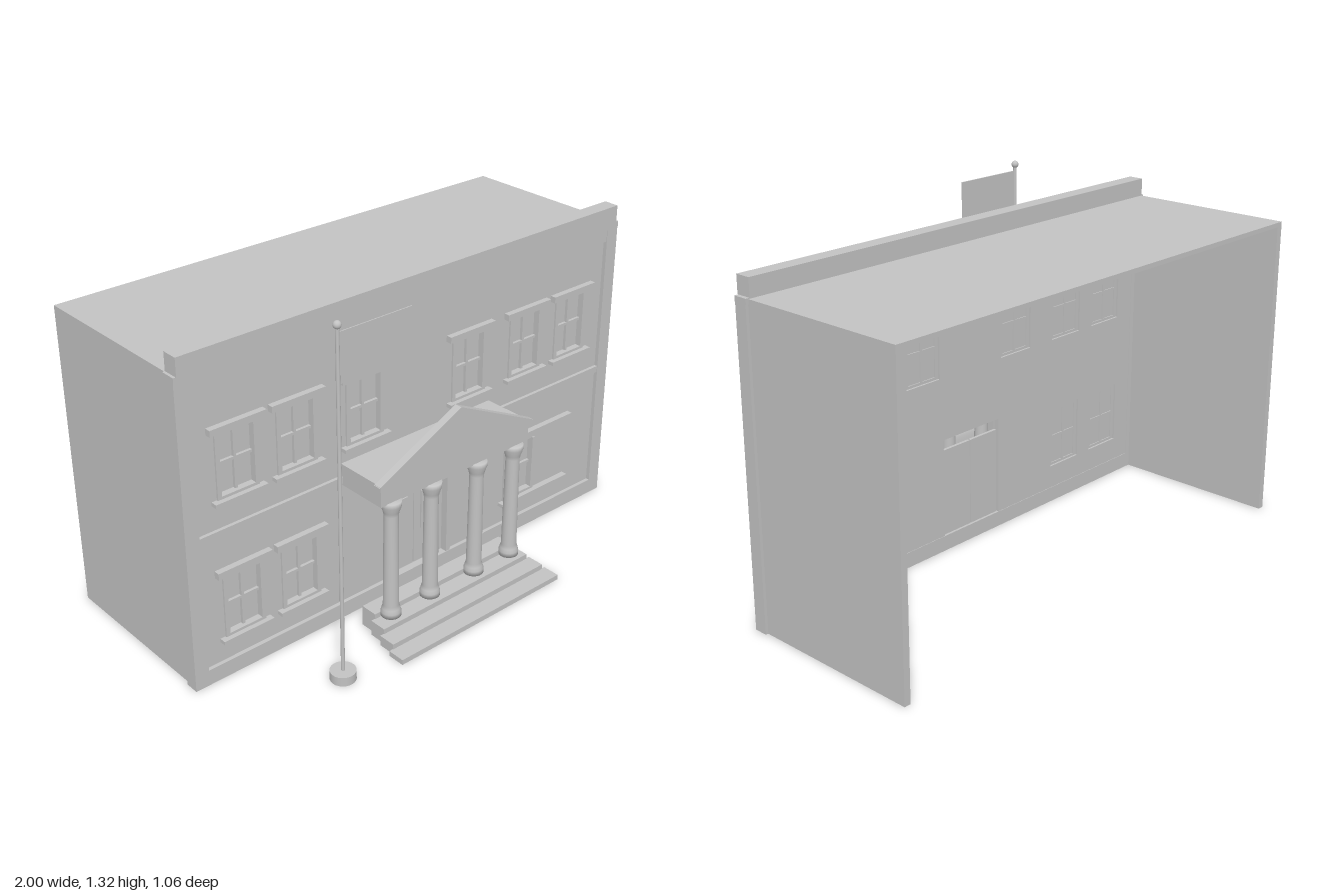
import * as THREE from 'three';

export function createModel() {
  const model = new THREE.Group();
  const stone = new THREE.MeshStandardMaterial({ color: 0xc2c2c2 });
  stone.name = 'grey stone';

  const add = (name, geometry, parent = model) => {
    const mesh = new THREE.Mesh(geometry, stone);
    mesh.name = name;
    parent.add(mesh);
    return mesh;
  };
  // box given by its limits on each axis
  const box = (name, x0, x1, y0, y1, z0, z1, parent = model) => {
    const mesh = add(name, new THREE.BoxGeometry(x1 - x0, y1 - y0, z1 - z0), parent);
    mesh.position.set((x0 + x1) / 2, (y0 + y1) / 2, (z0 + z1) / 2);
    return mesh;
  };
  const rectPath = (PathType, x0, x1, y0, y1) => {
    const p = new PathType();
    p.moveTo(x0, y0);
    p.lineTo(x1, y0);
    p.lineTo(x1, y1);
    p.lineTo(x0, y1);
    p.closePath();
    return p;
  };

  // open-backed shell: two side walls and a roof
  box('rightSideWall', -0.99, -0.965, 0, 1.15, -0.53, 0.13);
  box('leftSideWall', 0.965, 0.99, 0, 1.15, -0.53, 0.13);
  box('roof', -0.99, 0.99, 1.15, 1.167, -0.53, 0.13);

  // window positions: [centre x, opening bottom, opening top]
  const windows = [
    ...[-0.778, -0.537, -0.245, 0.245, 0.532, 0.775].map((x) => [x, 0.685, 0.93]),
    ...[-0.778, -0.537, 0.532].map((x) => [x, 0.152, 0.395]),
  ];
  const half = 0.083;

  // facade wall pierced by the windows and the doorway
  const wall = rectPath(THREE.Shape, -0.97, 0.97, 0.03, 1.15);
  for (const [x, y0, y1] of windows) wall.holes.push(rectPath(THREE.Path, x - half, x + half, y0, y1));
  wall.holes.push(rectPath(THREE.Path, -0.147, 0.147, 0.06, 0.445));
  add('facadeWall', new THREE.ExtrudeGeometry(wall, { depth: 0.035, bevelEnabled: false })).position.z = 0.13;

  // facade trim
  box('plinth', -1, 1, 0, 0.06, 0.128, 0.18);
  for (const s of [-1, 1]) {
    const a = s * 0.945, b = s * 1;
    box('cornerPilaster', Math.min(a, b), Math.max(a, b), 0.06, 1.165, 0.128, 0.18);
  }
  box('floorBand', -0.98, 0.98, 0.553, 0.578, 0.15, 0.178);
  box('cornice', -0.985, 0.985, 1.1, 1.15, 0.135, 0.178);
  box('corniceMoulding', -1, 1, 1.15, 1.17, 0.126, 0.182);
  box('parapet', -0.99, 0.985, 1.17, 1.236, 0.125, 0.185);

  // windows with glazing, frame, glazing bars, lintel and sill
  for (const [x, y0, y1] of windows) {
    const g = new THREE.Group();
    g.name = 'window';
    model.add(g);
    const upper = y0 > 0.5, mid = (y0 + y1) / 2;
    box('pane', x - half, x + half, y0, y1, 0.142, 0.147, g);
    for (const s of [-1, 1]) {
      const cx = x + s * (half - 0.008);
      box('frameSide', cx - 0.008, cx + 0.008, y0, y1, 0.138, 0.172, g);
    }
    box('frameTop', x - half, x + half, y1 - 0.012, y1, 0.138, 0.172, g);
    box('frameBottom', x - half, x + half, y0, y0 + 0.01, 0.138, 0.172, g);
    box('verticalBar', x - 0.005, x + 0.005, y0, y1, 0.138, 0.158, g);
    box('horizontalBar', x - half, x + half, mid - 0.005, mid + 0.005, 0.138, 0.158, g);
    const wide = !upper && x > 0 ? 0.8 : x + 0.11;
    box('lintel', x - 0.11, wide, upper ? y1 : y1 + 0.004, upper ? y1 + 0.024 : y1 + 0.03, 0.155, 0.188, g);
    box('sill', x - 0.104, !upper && x > 0 ? 0.79 : x + 0.104, y0 - 0.014, y0, 0.155, 0.19, g);
  }
  box('looseGlazingBar', 0.594, 0.606, 0.27, 0.385, 0.165, 0.178);

  // double door with an open transom above
  for (const s of [-1, 1]) {
    const c = s * 0.073;
    box('doorLeaf', c - 0.071, c + 0.071, 0.06, 0.4, 0.138, 0.15);
    box('doorPanel', c - 0.04, c + 0.04, 0.2, 0.36, 0.15, 0.156);
    const j = s * 0.152;
    box('doorJamb', j - 0.01, j + 0.01, 0.06, 0.44, 0.15, 0.178);
  }
  box('doorLintel', -0.16, 0.16, 0.44, 0.477, 0.14, 0.19);

  // entrance steps
  for (let i = 0; i < 4; i++) {
    const w = 0.388 - i * 0.016, front = 0.525 - i * 0.066;
    box('step', -w, w, 0, 0.02 * (i + 1), front - 0.068, front);
  }

  // portico columns
  const profile = [
    [0, 0.08], [0.037, 0.08], [0.037, 0.098], [0.033, 0.112], [0.029, 0.125],
    [0.026, 0.49], [0.029, 0.505], [0.037, 0.53], [0.037, 0.548], [0, 0.548],
  ].map(([r, y]) => new THREE.Vector2(r, y));
  for (const x of [-0.295, -0.11, 0.108, 0.29]) {
    add('column', new THREE.LatheGeometry(profile, 20)).position.set(x, 0, 0.36);
  }

  // portico roof and pediment
  box('entablature', -0.353, 0.348, 0.545, 0.615, 0.17, 0.375);
  box('porticoRoof', -0.355, 0.35, 0.615, 0.628, 0.17, 0.375);
  box('porticoCornice', -0.365, 0.36, 0.612, 0.632, 0.355, 0.385);
  const gable = new THREE.Shape();
  gable.moveTo(-0.367, 0.63);
  gable.lineTo(0.363, 0.63);
  gable.lineTo(0, 0.806);
  gable.closePath();
  add('pediment', new THREE.ExtrudeGeometry(gable, { depth: 0.03, bevelEnabled: false })).position.z = 0.355;

  // flagpole
  const flagpole = new THREE.Group();
  flagpole.name = 'flagpole';
  flagpole.position.set(-0.585, 0, 0.445);
  model.add(flagpole);
  add('poleBase', new THREE.CylinderGeometry(0.046, 0.046, 0.035, 24), flagpole).position.y = 0.0175;
  add('pole', new THREE.CylinderGeometry(0.007, 0.007, 1.28, 12), flagpole).position.y = 0.66;
  add('finial', new THREE.SphereGeometry(0.014, 16, 12), flagpole).position.y = 1.31;
  box('flag', 0.005, 0.3, 1.11, 1.285, -0.002, 0.002, flagpole);

  return model;
}
